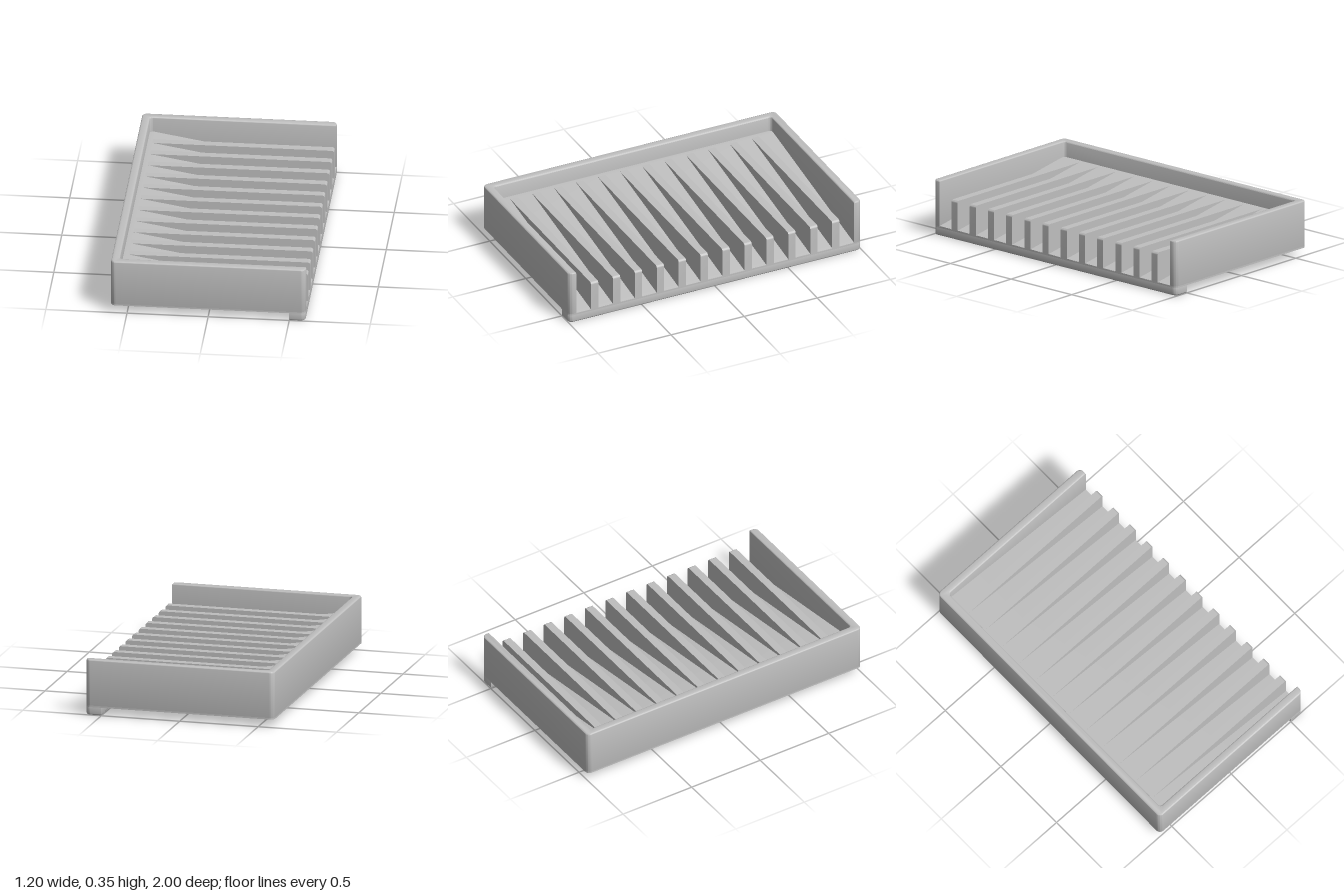
import * as THREE from 'three';
import { toCreasedNormals } from 'three/addons/utils/BufferGeometryUtils.js';

const W = 0.6, D = 1, T = 0.05; // half width, half length, wall thickness
const R = 0.03, RI = 0.02; // outer and inner corner radii

// Extrudes a plan outline (x, -z) upward from y0 to y1
function plate(shape, y0, y1, bevel = 0) {
  const g = new THREE.ExtrudeGeometry(shape, {
    depth: y1 - y0 - 2 * bevel, curveSegments: 8,
    bevelEnabled: bevel > 0, bevelThickness: bevel, bevelSize: bevel,
    bevelOffset: -bevel, bevelSegments: 3,
  });
  g.rotateX(-Math.PI / 2).translate(0, y0 + bevel, 0);
  return toCreasedNormals(g, 0.6);
}

// Extrudes a side profile (x, y) across z, centred on zc
function slice(shape, width, zc) {
  const g = new THREE.ExtrudeGeometry(shape, { depth: width, bevelEnabled: false, curveSegments: 5 });
  return toCreasedNormals(g.translate(0, 0, zc - width / 2), 0.6);
}

// Outline from x0 to the front edge, with rounded corners
function outline(x0, r0) {
  const s = new THREE.Shape();
  s.moveTo(x0 + r0, -D);
  s.lineTo(W - R, -D);
  s.absarc(W - R, -D + R, R, -Math.PI / 2, 0);
  s.lineTo(W, D - R);
  s.absarc(W - R, D - R, R, 0, Math.PI / 2);
  s.lineTo(x0 + r0, D);
  if (r0) s.absarc(x0 + r0, D - r0, r0, Math.PI / 2, Math.PI);
  s.lineTo(x0, -D + r0);
  if (r0) s.absarc(x0 + r0, -D + r0, r0, Math.PI, Math.PI * 1.5);
  return s;
}

export function createModel() {
  const group = new THREE.Group();
  const grey = new THREE.MeshStandardMaterial({ color: 0xbfbfbf });
  grey.name = 'grey';
  const add = (name, geometry) => {
    const mesh = new THREE.Mesh(geometry, grey);
    mesh.name = name;
    group.add(mesh);
  };

  // Thin base and the drip lip hanging below its open edge
  add('base', plate(outline(-W, R), 0.05, 0.06));
  add('lip', plate(outline(0.5, 0), 0, 0.06, 0.01));

  // U-shaped rim, open on the +x side
  const u = new THREE.Shape();
  const xi = -W + T, zi = D - T;
  u.moveTo(-W + R, -D);
  u.lineTo(W - R, -D);
  u.absarc(W - R, -D + R, R, -Math.PI / 2, 0);
  u.lineTo(W, -zi);
  u.lineTo(xi + RI, -zi);
  u.absarc(xi + RI, -zi + RI, RI, Math.PI * 1.5, Math.PI, true);
  u.lineTo(xi, zi - RI);
  u.absarc(xi + RI, zi - RI, RI, Math.PI, Math.PI / 2, true);
  u.lineTo(W, zi);
  u.lineTo(W, D - R);
  u.absarc(W - R, D - R, R, 0, Math.PI / 2);
  u.lineTo(-W + R, D);
  u.absarc(-W + R, D - R, R, Math.PI / 2, Math.PI);
  u.lineTo(-W, -D + R);
  u.absarc(-W + R, -D + R, R, Math.PI, Math.PI * 1.5);
  add('rim', plate(u, 0.051, 0.35, 0.008));

  // Sloping channel floor draining toward the open side
  const floor = new THREE.Shape([
    [-0.56, 0.055], [0.599, 0.055], [0.599, 0.061], [-0.52, 0.25], [-0.56, 0.25],
  ].map(([x, y]) => new THREE.Vector2(x, y)));
  add('slopedFloor', slice(floor, 1.91, 0));

  // Level ribs with a rounded front top edge
  const rib = new THREE.Shape();
  rib.moveTo(-0.52, 0.055);
  rib.lineTo(W, 0.055);
  rib.lineTo(W, 0.235);
  rib.absarc(W - 0.015, 0.235, 0.015, 0, Math.PI / 2);
  rib.lineTo(-0.52, 0.25);
  for (let i = 0; i < 12; i++) add('rib' + (i + 1), slice(rib, 0.05, -0.825 + i * 0.15));

  return group;
}
